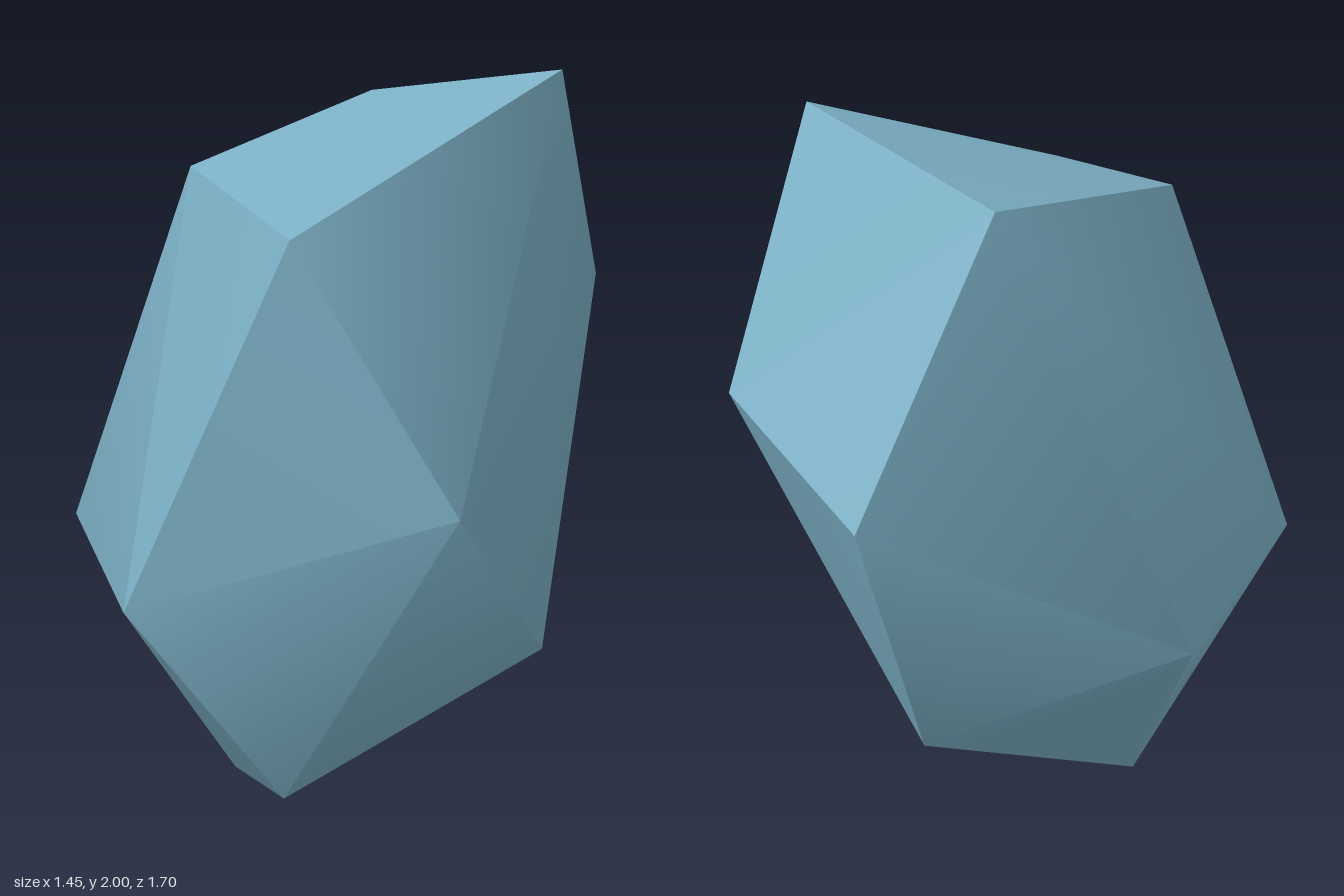
import * as THREE from 'three';
import { ConvexGeometry } from 'three/addons/geometries/ConvexGeometry.js';
import { toCreasedNormals } from 'three/addons/utils/BufferGeometryUtils.js';

export function createModel() {
  const group = new THREE.Group();
  group.name = 'rock';

  const blueStone = new THREE.MeshStandardMaterial({ color: 0x7bafc4 });
  blueStone.name = 'blueStone';

  const corners = [
    // slanted cap
    [0.58, 2.0, 0.14], [0.06, 1.96, -0.5], [-0.36, 1.76, 0.23], [-0.04, 1.62, 0.845],
    // shoulder at the back
    [0.725, 1.435, -0.38], [0.357, 1.33, -0.845],
    // waist
    [0.34, 1.0, 0.85], [-0.44, 0.75, 0.8], [-0.727, 0.8, 0.08], [-0.43, 0.81, -0.555],
    // base
    [0.56, 0.515, 0.3], [-0.07, 0.285, 0.77], [0.29, 0.3, -0.34], [-0.31, 0, -0.06],
  ].map((p) => new THREE.Vector3(...p));

  // convex boulder, smooth over shallow edges and sharp over steep ones
  const geometry = toCreasedNormals(new ConvexGeometry(corners), THREE.MathUtils.degToRad(50));
  const boulder = new THREE.Mesh(geometry, blueStone);
  boulder.name = 'boulder';
  group.add(boulder);
  return group;
}
